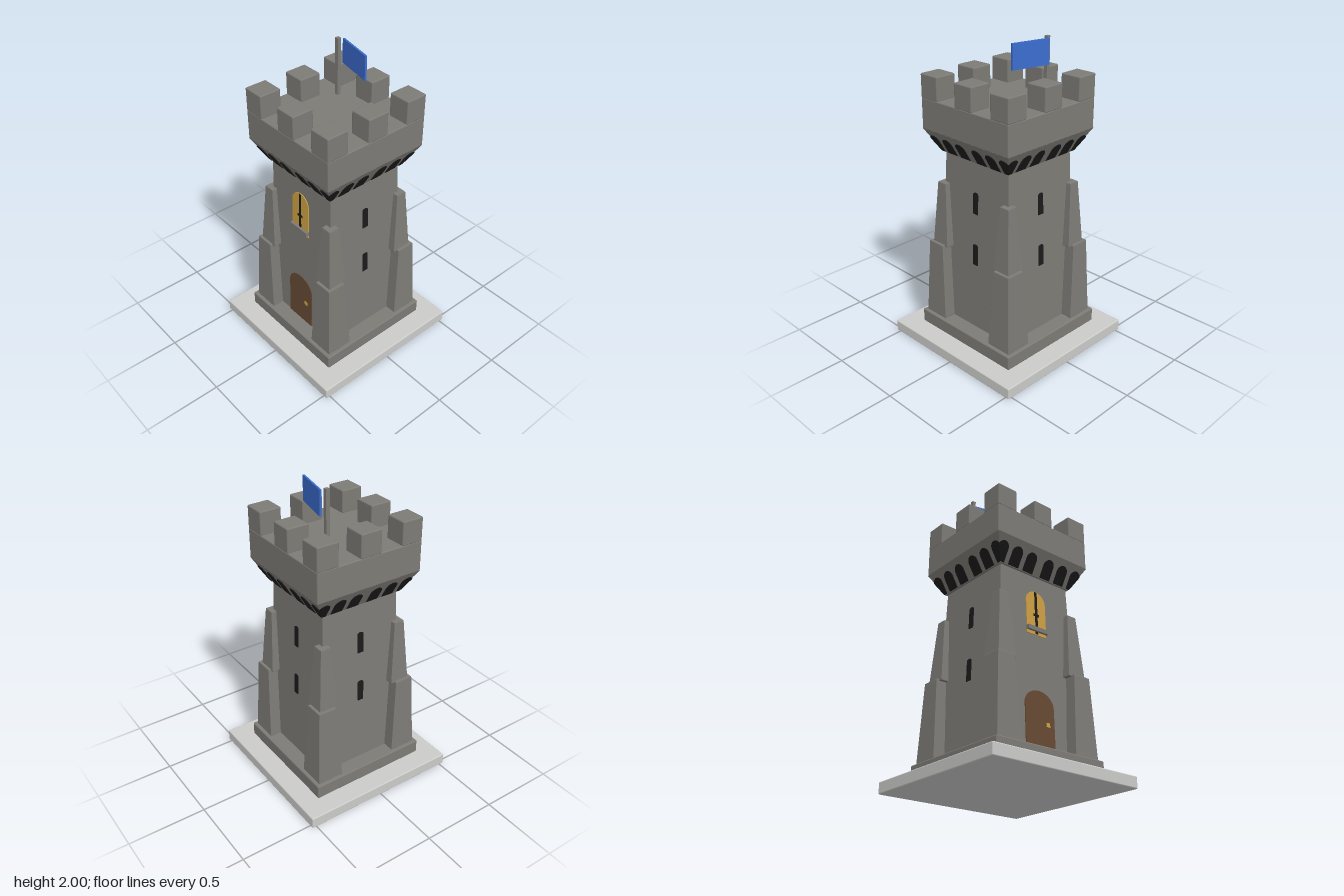
import * as THREE from 'three';
import { RoundedBoxGeometry } from 'three/addons/geometries/RoundedBoxGeometry.js';

const material = (name, color) => new THREE.MeshStandardMaterial({ name, color });

export function createModel() {
  const stone = material('stone', 0x7d7b76);
  const pale = material('paleStone', 0xcbcbca);
  const wood = material('wood', 0x664a33);
  const gold = material('gold', 0xcca043);
  const dark = material('darkOpening', 0x1b1b1b);
  const blue = material('blueCloth', 0x3b6dd0);

  const model = new THREE.Group();
  model.name = 'tower';

  const add = (name, geometry, mat, parent = model) => {
    const mesh = new THREE.Mesh(geometry, mat);
    mesh.name = name;
    parent.add(mesh);
    return mesh;
  };

  // Box spanning x0..x1, y0..y1, z0..z1 with slightly softened edges
  const block = (name, x0, x1, y0, y1, z0, z1, mat, radius = 0.008, parent = model) => {
    const w = x1 - x0, h = y1 - y0, d = z1 - z0;
    const geometry = radius
      ? new RoundedBoxGeometry(w, h, d, 2, radius)
      : new THREE.BoxGeometry(w, h, d);
    const mesh = add(name, geometry, mat, parent);
    mesh.position.set((x0 + x1) / 2, (y0 + y1) / 2, (z0 + z1) / 2);
    return mesh;
  };

  // Square block on one diagonal: inner..outer range at the bottom blends to the top range
  const taperedBlock = (y0, y1, bottom, top, radius) => {
    const h = y1 - y0;
    const geometry = radius ? new RoundedBoxGeometry(1, h, 1, 1, radius) : new THREE.BoxGeometry(1, h, 1);
    const p = geometry.attributes.position;
    for (let i = 0; i < p.count; i++) {
      const t = p.getY(i) / h + 0.5;
      const inner = THREE.MathUtils.lerp(bottom[0], top[0], t);
      const outer = THREE.MathUtils.lerp(bottom[1], top[1], t);
      const place = (v) => inner + (v + 0.5) * (outer - inner);
      p.setXYZ(i, place(p.getX(i)), y0 + t * h, place(p.getZ(i)));
    }
    geometry.computeVertexNormals();
    return geometry;
  };

  // Half widths of the leaning wall and the flared corbel at a given height
  const wallAt = (y) => 0.3 - 0.0293 * (y - 0.165);
  const corbelAt = (y) => 0.278 + 0.087 * (y - 1.29) / 0.15;

  // Arched outline; rise is the height of the curved head
  const archShape = (cx, halfWidth, y0, y1, rise) => {
    const s = new THREE.Shape();
    s.moveTo(cx - halfWidth, y0);
    s.lineTo(cx + halfWidth, y0);
    s.lineTo(cx + halfWidth, y1 - rise);
    s.absellipse(cx, y1 - rise, halfWidth, rise, 0, Math.PI, false, 0);
    s.closePath();
    return s;
  };

  const rectShape = (x0, x1, y0, y1) => new THREE.Shape([
    new THREE.Vector2(x0, y0), new THREE.Vector2(x1, y0),
    new THREE.Vector2(x1, y1), new THREE.Vector2(x0, y1)]);

  // Thin plate laid against a sloping face and trimmed to its corners
  const plate = (shape, surface, depth = 0.005) => {
    const geometry = new THREE.ExtrudeGeometry(shape, { depth, bevelEnabled: false, curveSegments: 10 });
    const p = geometry.attributes.position;
    for (let i = 0; i < p.count; i++) {
      const z = surface(p.getY(i)) + p.getZ(i);
      p.setX(i, THREE.MathUtils.clamp(p.getX(i), -z, z));
      p.setZ(i, z);
    }
    geometry.computeVertexNormals();
    return geometry;
  };

  // Foundation, plinth, walls, corbel and parapet
  block('basePlate', -0.53, 0.53, 0, 0.075, -0.53, 0.53, pale);
  block('plinth', -0.4, 0.4, 0.075, 0.167, -0.4, 0.4, stone);
  const w0 = wallAt(0.16), w1 = wallAt(1.29);
  add('walls', taperedBlock(0.16, 1.29, [-w0, w0], [-w1, w1], 0), stone);
  add('corbel', taperedBlock(1.29, 1.44, [-0.278, 0.278], [-0.365, 0.365], 0), stone);
  block('parapet', -0.365, 0.365, 1.435, 1.633, -0.365, 0.365, stone);

  // Two-stage buttress on each corner
  const lower = taperedBlock(0.165, 0.68, [0.2, 0.377], [0.231, 0.355], 0.01);
  const upper = taperedBlock(0.67, 1.09, [0.206, 0.337], [0.238, 0.307], 0.01);
  for (let i = 0; i < 4; i++) {
    const buttress = new THREE.Group();
    buttress.name = 'buttress';
    add('lowerButtress', lower, stone, buttress);
    add('upperButtress', upper, stone, buttress);
    buttress.rotation.y = i * Math.PI / 2;
    model.add(buttress);
  }

  // Eight merlons around the roof edge
  for (const x of [-0.293, 0, 0.293]) {
    for (const z of [-0.293, 0, 0.293]) {
      if (x || z) block('merlon', x - 0.072, x + 0.072, 1.628, 1.78, z - 0.072, z + 0.072, stone);
    }
  }

  // Corbel arches on all sides, arrow slits on all but the front
  for (let side = 0; side < 4; side++) {
    const face = new THREE.Group();
    face.name = 'wallDetails';
    face.rotation.y = side * Math.PI / 2;
    for (const x of [-0.296, -0.184, -0.07, 0.07, 0.184, 0.296]) {
      add('corbelArch', plate(archShape(x, 0.039, 1.295, 1.402, 0.035), corbelAt), dark, face);
    }
    if (side > 0) {
      for (const y of [0.61, 0.955]) {
        add('arrowSlit', plate(archShape(0, 0.02, y, y + 0.14, 0.012), wallAt), dark, face);
      }
    }
    model.add(face);
  }

  // Door with knob
  add('door', plate(archShape(0, 0.11, 0.167, 0.532, 0.09), wallAt), wood);
  add('doorKnob', plate(rectShape(0.046, 0.072, 0.322, 0.348), wallAt, 0.009), gold);

  // Lit window with mullion, crossbar and sill
  add('window', plate(archShape(0, 0.076, 0.89, 1.184, 0.075), wallAt), gold);
  add('windowMullion', plate(rectShape(-0.009, 0.009, 0.895, 1.18), wallAt, 0.008), dark);
  add('windowCrossbar', plate(rectShape(-0.022, 0.022, 1.014, 1.03), wallAt, 0.008), dark);
  block('windowSill', -0.078, 0.078, 0.91, 0.937, 0.26, 0.3, stone, 0);

  // Flagpole and flag
  block('flagpole', -0.172, -0.148, 1.62, 2, -0.172, -0.148, stone, 0);
  const flag = block('flag', -0.147, 0.109, 1.838, 1.993, -0.168, -0.156, blue, 0);
  flag.rotation.y = -0.215;

  return model;
}
